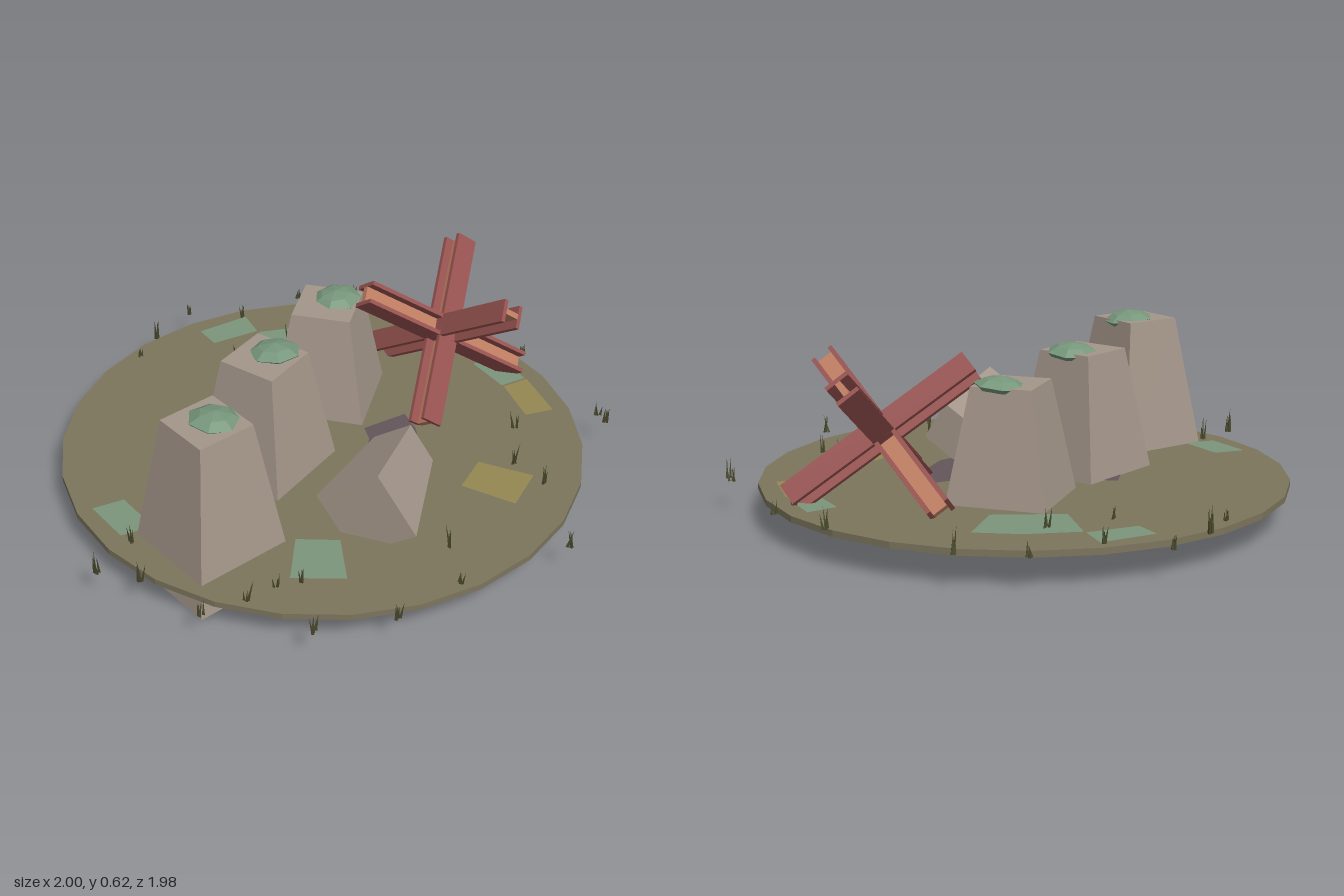
import * as THREE from 'three';

const mat = (name, color, extra = {}) => Object.assign(new THREE.MeshStandardMaterial({ color, ...extra }), { name });
const GROUND = 0.122;

export function createModel() {
  const concrete = mat('concrete', 0xa4968a, { flatShading: true });
  const olive = mat('olive ground', 0x7c755d, { flatShading: true });
  const underside = mat('dark underside', 0x574c4e);
  const dirt = mat('bare dirt', 0x63565a, { side: THREE.DoubleSide });
  const paleGreen = mat('pale green', 0x7c967c, { side: THREE.DoubleSide });
  const moss = mat('moss', 0x76967a, { flatShading: true });
  const yellow = mat('dry yellow', 0x948952, { side: THREE.DoubleSide });
  const grass = mat('grass', 0x48482c, { flatShading: true });
  const rust = mat('rust red', 0x96524f, { flatShading: true });
  const orange = mat('rust orange', 0xbd7d60, { flatShading: true });

  const model = new THREE.Group();
  model.name = 'tankObstacles';
  const add = (name, geometry, material, parent = model) => {
    const mesh = new THREE.Mesh(geometry, material);
    mesh.name = name;
    parent.add(mesh);
    return mesh;
  };

  // Round ground plate with a darker underside
  const plate = new THREE.CylinderGeometry(0.925, 0.925, 0.022, 26);
  plate.rotateY(Math.PI / 2);
  add('groundPlate', plate, [olive, olive, underside]).position.set(0.025, GROUND - 0.011, 0.01);

  // Flat ground patches, corners given as x, z pairs
  const patch = (name, points, material, lift = 0.002) => {
    const shape = new THREE.Shape(points.map(([x, z]) => new THREE.Vector2(x, -z)));
    const geometry = new THREE.ShapeGeometry(shape);
    geometry.rotateX(-Math.PI / 2);
    add(name, geometry, material).position.y = GROUND + lift;
  };
  [
    [[0.13, -0.84], [0.33, -0.81], [0.3, -0.7], [0.12, -0.74]],
    [[0.3, -0.69], [0.47, -0.6], [0.59, -0.49], [0.43, -0.36], [0.22, -0.5]],
    [[-0.82, -0.2], [-0.71, -0.17], [-0.72, 0.01], [-0.83, -0.02]],
    [[-0.4, 0.37], [-0.29, 0.47], [-0.4, 0.63], [-0.54, 0.51]],
    [[0.78, 0.01], [0.89, 0.01], [0.86, 0.2], [0.76, 0.18]],
  ].forEach((p) => patch('greenPatch', p, paleGreen));
  [
    [[0.22, 0.52], [0.36, 0.46], [0.45, 0.64], [0.29, 0.71]],
    [[0.76, 0.19], [0.86, 0.21], [0.79, 0.41], [0.69, 0.37]],
  ].forEach((p) => patch('yellowPatch', p, yellow, 0.003));
  patch('dirtTrack', [[0, 0.19], [0.1, 0.16], [0.16, 0.11], [0.19, 0.05], [0.36, 0.08],
    [0.33, 0.17], [0.27, 0.26], [0.17, 0.33], [0, 0.35]], dirt);
  patch('dirtSpot', [[-0.26, -0.18], [-0.17, -0.27], [-0.1, -0.2], [-0.18, -0.12]], dirt);

  // Square tapered block standing on y = 0
  const frustum = (base, top, height) => {
    const g = new THREE.CylinderGeometry(top * Math.SQRT2, base * Math.SQRT2, height, 4);
    g.rotateY(Math.PI / 4);
    g.translate(0, height / 2, 0);
    return g;
  };

  // Low faceted cushion of moss
  const mossCap = () => new THREE.LatheGeometry([
    [0.001, -0.018], [0.08, -0.018], [0.092, -0.004], [0.055, 0.017], [0.001, 0.028],
  ].map(([x, y]) => new THREE.Vector2(x, y)), 7);

  // Standing blocks: x, z, turn, height, moss x, moss z
  [
    [-0.605, 0.18, 0, 0.592, -0.57, 0.18],
    [-0.19, -0.04, 0.26, 0.55, -0.14, -0.05],
    [0.237, -0.21, 0.62, 0.51, 0.285, -0.22],
  ].forEach(([x, z, turn, height, mx, mz], i) => {
    const block = add('standingBlock', frustum(0.193, 0.106, height), concrete);
    block.position.set(x, 0, z);
    block.rotation.y = turn;
    const cap = add('mossCap', mossCap(), moss);
    cap.position.set(mx, height + 0.002, mz);
    cap.rotation.set(0, i * 1.3, -0.1);
  });

  // Places an object so that its local y and x follow the given directions
  const orient = (object, yDir, xDir) => {
    const y = new THREE.Vector3(...yDir).normalize();
    const z = new THREE.Vector3(...xDir).cross(y).normalize();
    const x = new THREE.Vector3().crossVectors(y, z);
    object.quaternion.setFromRotationMatrix(new THREE.Matrix4().makeBasis(x, y, z));
  };

  // Toppled block, half sunk in the ground
  const fallen = add('fallenBlock', frustum(0.126, 0.077, 0.392), concrete);
  fallen.position.set(-0.218, 0.216, 0.515);
  orient(fallen, [0.343, 0.004, -0.19], [-0.07, 0.2, -0.11]);

  // Three crossed I-beams at right angles
  const hedgehog = new THREE.Group();
  hedgehog.name = 'steelHedgehog';
  hedgehog.position.set(0.605, 0.35, 0.01);
  model.add(hedgehog);
  const axes = [[-0.28, 0.21, -0.12], [0.25, 0.21, -0.18], [0.03, 0.2, 0.3]];
  axes.forEach((axis, i) => {
    const beam = new THREE.Group();
    beam.name = 'steelBeam';
    const length = 0.74, width = 0.084, flange = 0.015;
    add('beamWeb', new THREE.BoxGeometry(width - 2 * flange, length, 0.02), orange, beam);
    for (const side of [-1, 1]) {
      add('beamFlange', new THREE.BoxGeometry(flange, length, width), rust, beam)
        .position.x = side * (width - flange) / 2;
    }
    orient(beam, axis, axes[(i + 1) % 3]);
    hedgehog.add(beam);
  });

  // Grass tufts, each a fan of thin blades
  let seed = 7;
  const random = () => (seed = (seed * 16807) % 2147483647) / 2147483647;
  const blade = new THREE.ConeGeometry(0.006, 1, 3);
  blade.translate(0, 0.5, 0);
  const tufts = [
    [0.18, -0.98], [-0.02, -0.92], [-0.15, -0.85], [0.32, -0.82], [0.58, -0.79], [0.13, -0.62], [0.37, -0.58],
    [0.75, -0.63], [0.93, -0.18], [0.98, 0.07], [0.88, 0.12], [0.9, 0.53], [0.89, 0.58], [0.45, 0.54],
    [0.45, 0.69], [0.61, 0.4], [-0.04, 0.73], [0.27, 0.98], [-0.13, 0.88], [-0.4, 0.87], [-0.64, 0.75],
    [-0.6, 0.51], [-0.71, 0.5], [-0.52, 0.55], [-0.86, 0.46], [-0.91, 0.2], [-0.99, 0.08], [-0.82, 0.03],
  ];
  tufts.forEach(([x, z]) => {
    const tuft = new THREE.Group();
    tuft.name = 'grassTuft';
    tuft.position.set(x, GROUND - 0.005, z);
    const size = 0.045 + 0.04 * random();
    for (let i = 0; i < 4; i++) {
      const b = add('grassBlade', blade, grass, tuft);
      b.position.set((random() - 0.5) * 0.02, 0, (random() - 0.5) * 0.015);
      b.scale.y = size * (0.7 + 0.5 * random());
      b.rotation.set((random() - 0.5) * 0.4, 0, (random() - 0.5) * 0.4);
    }
    model.add(tuft);
  });

  return model;
}
